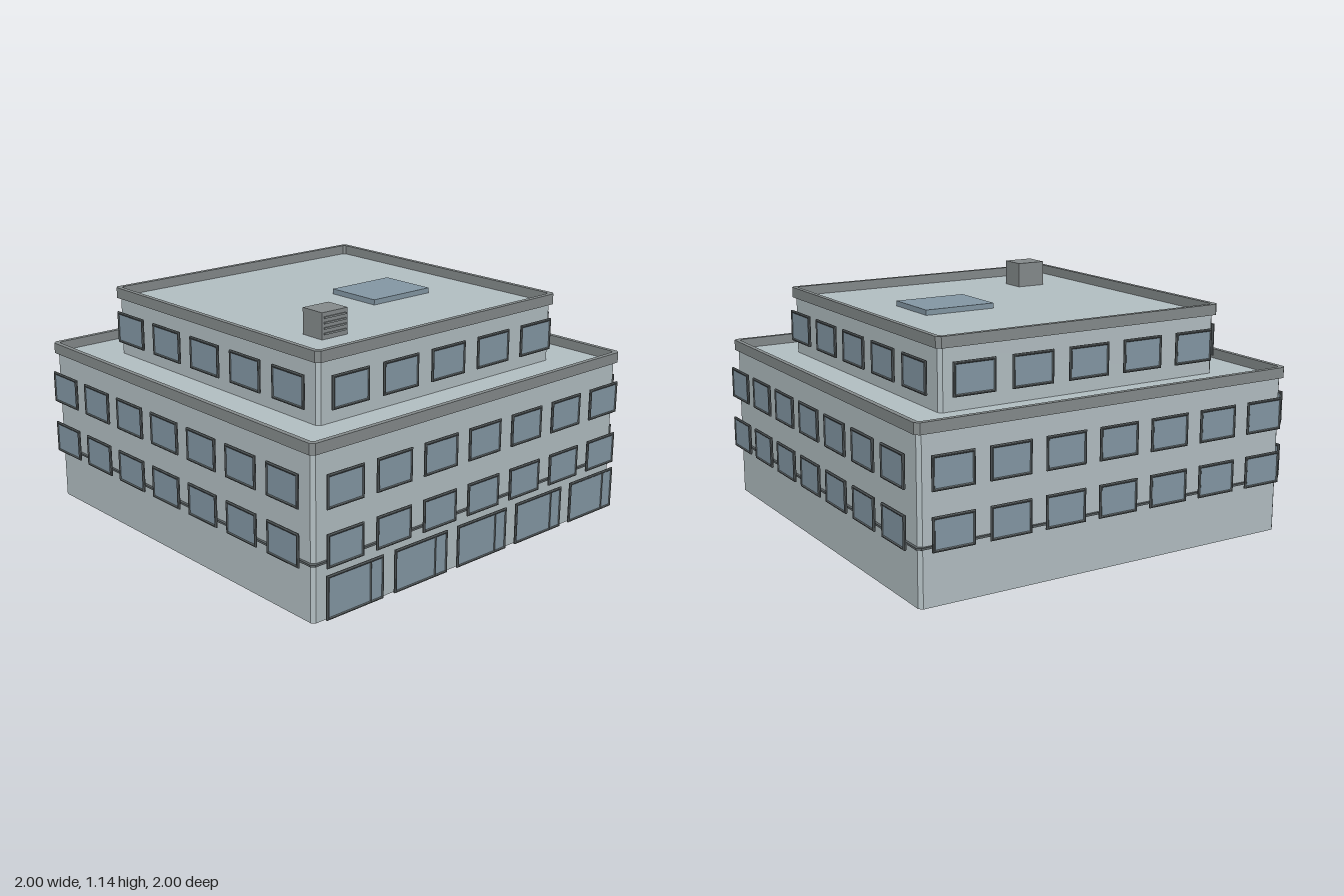
import * as THREE from 'three';

const mat = (color) => new THREE.MeshStandardMaterial({ color, flatShading: true });
const WALL = mat(0xb4c0c4), TRIM = mat(0x868c8d), FRAME = mat(0x5c6365), GLASS = mat(0x8599a6);

// Square outline with chamfered corners, half-width h, chamfer c
function outline(h, c, Type = THREE.Shape) {
  const k = h - c;
  return new Type([[h, -k], [h, k], [k, h], [-k, h], [-h, k], [-h, -k], [-k, -h], [k, -h]]
    .map(([x, y]) => new THREE.Vector2(x, y)));
}

// Rectangle centred on (x, y)
function rect(x, y, w, h, Type = THREE.Shape) {
  return new Type([[-1, -1], [1, -1], [1, 1], [-1, 1]]
    .map(([a, b]) => new THREE.Vector2(x + a * w / 2, y + b * h / 2)));
}

function add(parent, name, geometry, material, x = 0, y = 0, z = 0) {
  const mesh = new THREE.Mesh(geometry, material);
  mesh.name = name;
  mesh.position.set(x, y, z);
  parent.add(mesh);
  return mesh;
}

const box = (w, h, d) => new THREE.BoxGeometry(w, h, d);

// Extrude a plan shape upwards from y0 to y1
function rise(shape, y0, y1) {
  return new THREE.ExtrudeGeometry(shape, { depth: y1 - y0, bevelEnabled: false })
    .rotateX(-Math.PI / 2).translate(0, y0, 0);
}

// Bevelled frame around one or more panes; openings are [x, width]
function frameGeometry(w, h, openings, border) {
  const shape = rect(0, 0, w, h);
  for (const [x, ow] of openings) shape.holes.push(rect(x, 0, ow, h - 2 * border, THREE.Path));
  const b = 0.004;
  return new THREE.ExtrudeGeometry(shape, {
    depth: 0.006, bevelThickness: b, bevelSize: b, bevelOffset: -b, bevelSegments: 1,
  }).translate(0, 0, -0.003);
}

// Row of equal windows along one facade
function windowRow(parent, name, count, spacing, w, h, y, z, openings) {
  const border = 0.012;
  const frame = frameGeometry(w, h, openings, border);
  const pane = box(w - border, h - border, 0.006);
  for (let i = 0; i < count; i++) {
    const win = new THREE.Group();
    win.name = name;
    win.position.set((i - (count - 1) / 2) * spacing, y, z);
    add(win, 'windowFrame', frame, FRAME);
    add(win, 'windowPane', pane, GLASS);
    parent.add(win);
  }
}

// One storey block with a raised rim around its flat roof
function tier(parent, name, half, y0, y1) {
  add(parent, name + 'Walls', rise(outline(half, 0.016), y0, y1), WALL);
  const rim = outline(half + 0.015, 0.018);
  rim.holes.push(outline(half - 0.008, 0.012, THREE.Path));
  add(parent, name + 'Parapet', rise(rim, y1 - 0.005, y1 + 0.045), TRIM);
}

export function createModel() {
  const building = new THREE.Group();
  building.name = 'building';

  tier(building, 'lower', 0.95, 0, 0.74);
  tier(building, 'upper', 0.725, 0.74, 1.02);

  // Thin band above the ground floor
  const band = outline(0.962, 0.016);
  band.holes.push(outline(0.94, 0.016, THREE.Path));
  add(building, 'floorBand', rise(band, 0.257, 0.266), FRAME);

  // Windows of the upper floors on all four sides
  for (let side = 0; side < 4; side++) {
    const facade = new THREE.Group();
    facade.name = ['front', 'left', 'back', 'right'][side] + 'Facade';
    facade.rotation.y = side * Math.PI / 2;
    for (const y of [0.325, 0.58]) {
      windowRow(facade, 'window', 7, 0.271, 0.2, 0.15, y, 0.993, [[0, 0.176]]);
    }
    windowRow(facade, 'topWindow', 5, 0.289, 0.208, 0.15, 0.885, 0.763, [[0, 0.184]]);
    // Shop windows with a narrow side pane, front only
    if (side === 0) {
      windowRow(facade, 'shopWindow', 5, 0.379, 0.315, 0.198, 0.121, 0.993,
        [[-0.0335, 0.224], [0.1165, 0.058]]);
    }
    building.add(facade);
  }

  // Skylight on the roof
  add(building, 'skylight', box(0.36, 0.025, 0.29), GLASS, 0.25, 1.0325, 0.065);

  // Roof vent with louvres on its front
  add(building, 'roofVent', box(0.147, 0.12, 0.126), TRIM, -0.433, 1.08, 0.437);
  for (let i = 0; i < 4; i++) {
    add(building, 'ventLouvre', box(0.125, 0.008, 0.008), TRIM, -0.433, 1.045 + i * 0.024, 0.502);
  }
  return building;
}
